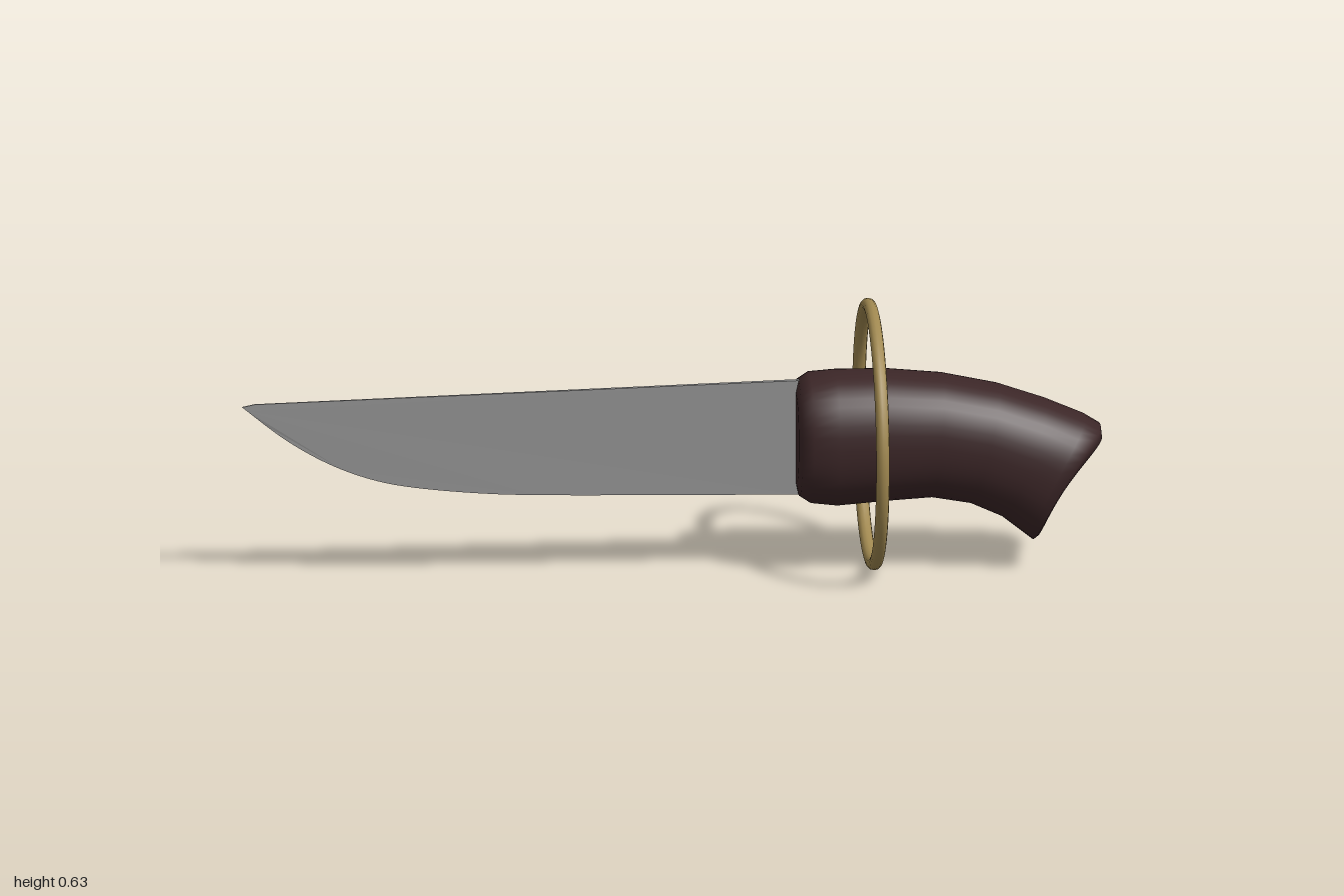
import * as THREE from 'three';

const steel = new THREE.MeshStandardMaterial({ color: 0x949494 });
steel.name = 'steel';
const darkWood = new THREE.MeshStandardMaterial({ color: 0x3b2627 });
darkWood.name = 'darkWood';
const brass = new THREE.MeshStandardMaterial({ color: 0xa08850 });
brass.name = 'brass';

// Thin blade: straight spine, curved belly, thinner at the cutting edge and tip
function makeBlade() {
  const shape = new THREE.Shape();
  shape.moveTo(0.33, 0.45);
  shape.lineTo(-0.97, 0.421);
  shape.lineTo(-1, 0.415);
  shape.splineThru([
    [-0.9, 0.335], [-0.8, 0.275], [-0.7, 0.235], [-0.6, 0.213],
    [-0.45, 0.196], [-0.3, 0.188], [0, 0.181], [0.33, 0.175],
  ].map(([x, y]) => new THREE.Vector2(x, y)));
  shape.closePath();
  const geo = new THREE.ExtrudeGeometry(shape, { depth: 2, bevelEnabled: false, curveSegments: 32 });
  geo.translate(0, 0, -1);
  const p = geo.attributes.position;
  for (let i = 0; i < p.count; i++) {
    const alongBlade = THREE.MathUtils.clamp((p.getX(i) + 1) / 1.3, 0, 1);
    const spine = p.getY(i) > 0.4 ? 1 : 0.35;
    p.setZ(i, p.getZ(i) * spine * (0.002 + 0.005 * alongBlade));
  }
  geo.computeVertexNormals();
  return new THREE.Mesh(geo, steel);
}

// Curved grip lofted through oval sections: top x, top y, bottom x, bottom y, half width, inward bow
function makeHandle() {
  const sections = [
    [0.288, 0.32, 0.288, 0.31, 0.004, 0],
    [0.288, 0.42, 0.288, 0.205, 0.085, 0],
    [0.294, 0.448, 0.294, 0.176, 0.112, 0],
    [0.32, 0.464, 0.32, 0.159, 0.129, 0],
    [0.38, 0.468, 0.38, 0.152, 0.135, 0],
    [0.5, 0.467, 0.5, 0.161, 0.134, 0],
    [0.63, 0.454, 0.6, 0.167, 0.132, 0],
    [0.76, 0.426, 0.69, 0.151, 0.131, 0],
    [0.87, 0.388, 0.765, 0.117, 0.131, 0],
    [0.96, 0.349, 0.815, 0.077, 0.13, 0.01],
    [0.997, 0.326, 0.836, 0.06, 0.122, 0.02],
    [1.0, 0.3, 0.846, 0.066, 0.105, 0.024],
    [0.975, 0.262, 0.866, 0.1, 0.07, 0.028],
    [0.918, 0.19, 0.914, 0.184, 0.003, 0.03],
  ];
  const sides = 40, pos = [], index = [];
  for (const [tx, ty, bx, by, half, bow] of sections) {
    const len = Math.hypot(tx - bx, ty - by);
    for (let i = 0; i < sides; i++) {
      const a = (i / sides) * Math.PI * 2;
      const round = (v) => Math.sign(v) * Math.abs(v) ** 0.88;
      const v = round(Math.cos(a));
      const t = (v + 1) / 2, inset = bow * (1 - v * v);
      pos.push(
        bx + (tx - bx) * t - inset * (ty - by) / len,
        by + (ty - by) * t + inset * (tx - bx) / len,
        round(Math.sin(a)) * half);
    }
  }
  for (let s = 0; s < sections.length - 1; s++) {
    for (let i = 0; i < sides; i++) {
      const a = s * sides + i, b = s * sides + (i + 1) % sides;
      index.push(a, b, a + sides, b, b + sides, a + sides);
    }
  }
  // Close the small holes at both ends
  const last = (sections.length - 1) * sides;
  for (let i = 1; i < sides - 1; i++) {
    index.push(0, i + 1, i, last, last + i, last + i + 1);
  }
  const geo = new THREE.BufferGeometry();
  geo.setAttribute('position', new THREE.Float32BufferAttribute(pos, 3));
  geo.setIndex(index);
  geo.computeVertexNormals();
  return new THREE.Mesh(geo, darkWood);
}

// Large ring standing around the grip
function makeRing() {
  const ring = new THREE.Mesh(new THREE.TorusGeometry(0.3, 0.0155, 12, 64), brass);
  ring.rotation.y = Math.PI / 2;
  ring.scale.x = 1.015;
  ring.position.set(0.463, 0.3155, 0);
  return ring;
}

export function createModel() {
  const model = new THREE.Group();
  model.name = 'knife';
  const parts = { blade: makeBlade(), handle: makeHandle(), guardRing: makeRing() };
  for (const [name, mesh] of Object.entries(parts)) {
    mesh.name = name;
    model.add(mesh);
  }
  return model;
}
